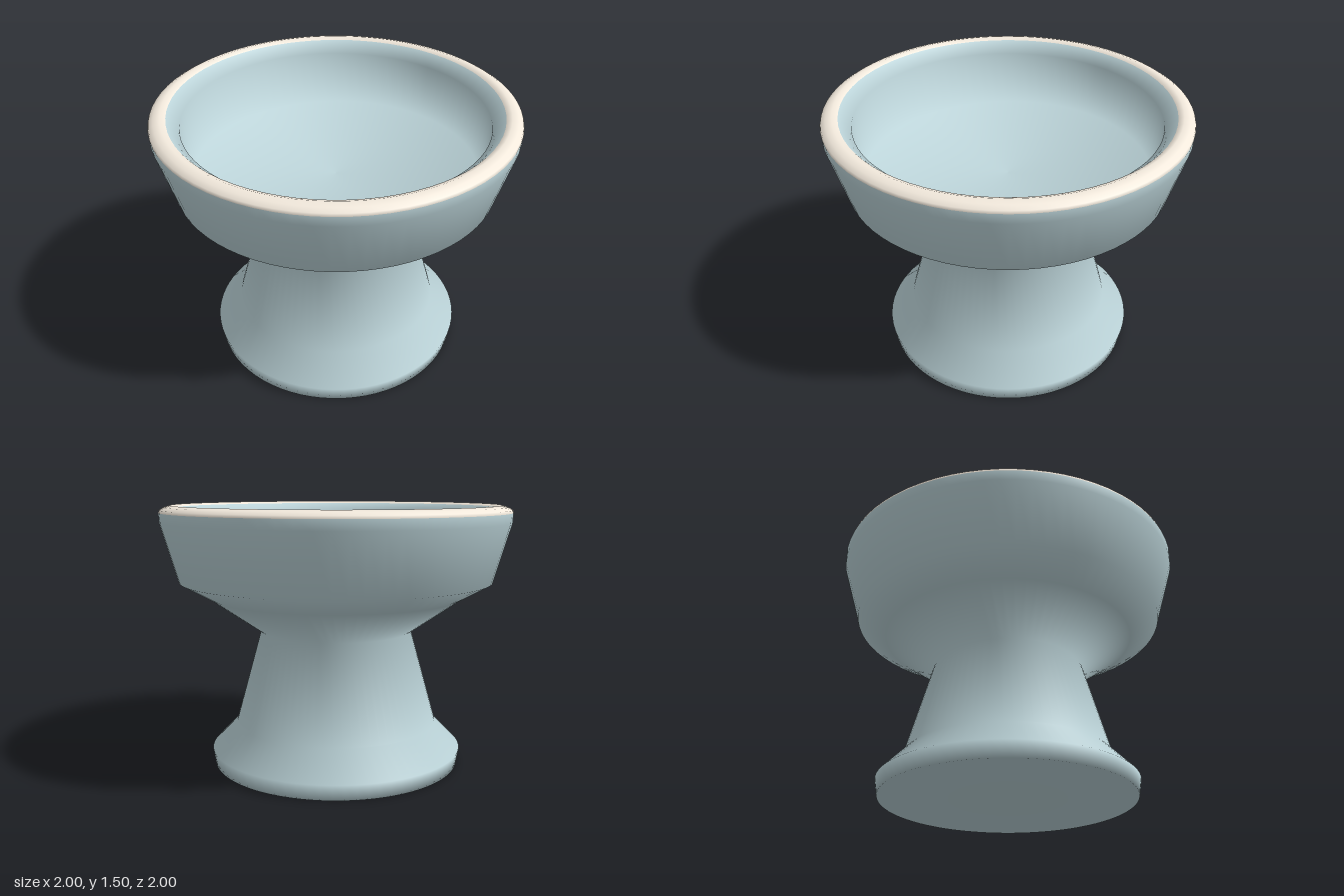
import * as THREE from 'three';

const SEGMENTS = 72;

// [radius, height] from the centre of the foot, over the lip, to the centre of the floor
const PROFILE = [
  [0, 0], [0.72, 0], [0.735, 0.09], [0.59, 0.24], [0.44, 0.78],
  [0.73, 0.98], [0.9, 1.075], [0.997, 1.41], [1, 1.465],
  [0.995, 1.48], [0.97, 1.495], [0.935, 1.505], [0.905, 1.492],
  [0.84, 1.43], [0.8, 1.12], [0, 1.07],
];
const LIP_START = 8;
const LIP_END = 12;

// One band of the revolved profile; normals run on smoothly into its neighbours.
function band(name, first, last, color) {
  const points = PROFILE.map(([r, y]) => new THREE.Vector2(r, y));
  const geometry = new THREE.LatheGeometry(points, SEGMENTS);
  const rows = PROFILE.length - 1;
  const index = Array.from(geometry.index.array).filter((_, k) => {
    const row = Math.floor(k / 6) % rows;
    return row >= first && row < last;
  });
  geometry.setIndex(index);
  const mesh = new THREE.Mesh(geometry, new THREE.MeshStandardMaterial({ color }));
  mesh.name = name;
  return mesh;
}

export function createModel() {
  const group = new THREE.Group();
  group.name = 'pedestalBowl';
  const glaze = 0xbcd4d9;

  // Closed foot, tapering stem and the outside of the bowl
  group.add(band('pedestalAndOuterBowl', 0, LIP_START, glaze));
  // Rounded cream lip
  group.add(band('rim', LIP_START, LIP_END, 0xf2e9dc));
  // Slope below the lip, steep wall and shallow floor
  group.add(band('innerBowl', LIP_END, PROFILE.length - 1, glaze));

  return group;
}
